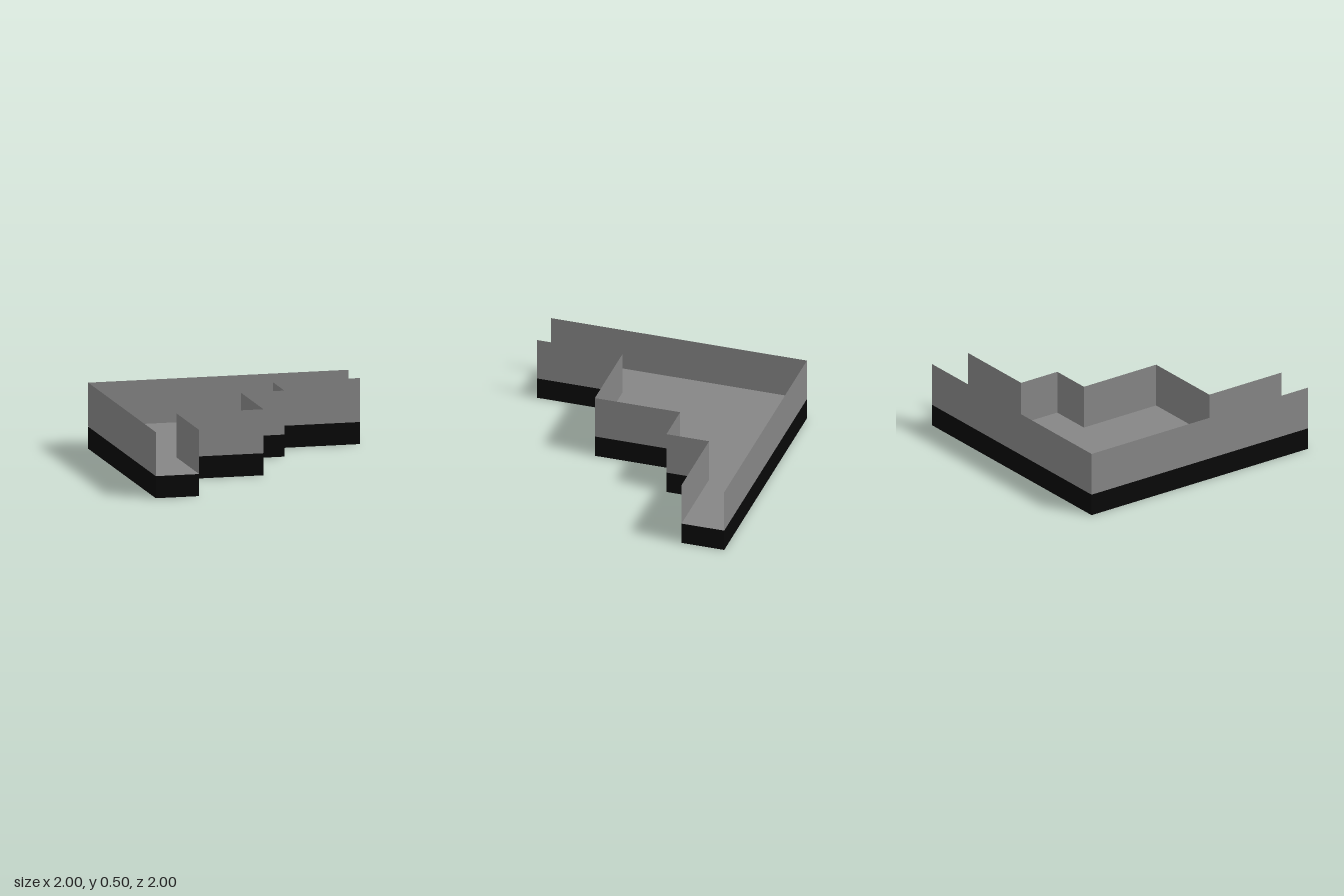
import * as THREE from 'three';

const FLOOR_Y = 0.167, TOP_Y = 0.5, T = 1 / 3;

// Stepped plan outline as [x, z]; the two end edges carry no wall
const innerSteps = [
  [-2 * T, 1], [-2 * T, T], [0, T], [0, -T], [T, -T], [T, -2 * T], [1, -2 * T],
];
const outerCorner = [[1, -1], [-1, -1], [-1, 1]];

export function createModel() {
  const grey = new THREE.MeshStandardMaterial({ color: 0x858585 });
  grey.name = 'grey';
  grey.side = THREE.DoubleSide;
  const black = new THREE.MeshStandardMaterial({ color: 0x080808 });
  black.name = 'black';

  const model = new THREE.Group();
  model.name = 'steppedWalledPlatform';

  // Solid base and the floor laid on it
  const outline = new THREE.Shape(
    [...innerSteps, ...outerCorner].map(([x, z]) => new THREE.Vector2(x, -z)));
  const base = new THREE.Mesh(
    new THREE.ExtrudeGeometry(outline, { depth: FLOOR_Y - 0.001, bevelEnabled: false }), black);
  base.name = 'base';
  base.rotation.x = -Math.PI / 2;
  const floor = new THREE.Mesh(new THREE.ShapeGeometry(outline), grey);
  floor.name = 'floor';
  floor.rotation.x = -Math.PI / 2;
  floor.position.y = FLOOR_Y;
  model.add(base, floor);

  // Thin upright walls along each path, open at both ends
  const addWalls = (path, name) => {
    const group = new THREE.Group();
    group.name = name;
    for (let i = 0; i < path.length - 1; i++) {
      const [x0, z0] = path[i], [x1, z1] = path[i + 1];
      const wall = new THREE.Mesh(
        new THREE.PlaneGeometry(Math.hypot(x1 - x0, z1 - z0), TOP_Y - FLOOR_Y), grey);
      wall.name = 'wall';
      wall.position.set((x0 + x1) / 2, (FLOOR_Y + TOP_Y) / 2, (z0 + z1) / 2);
      wall.rotation.y = -Math.atan2(z1 - z0, x1 - x0);
      group.add(wall);
    }
    model.add(group);
  };
  addWalls(innerSteps, 'steppedWalls');
  addWalls(outerCorner, 'outerWalls');

  return model;
}
